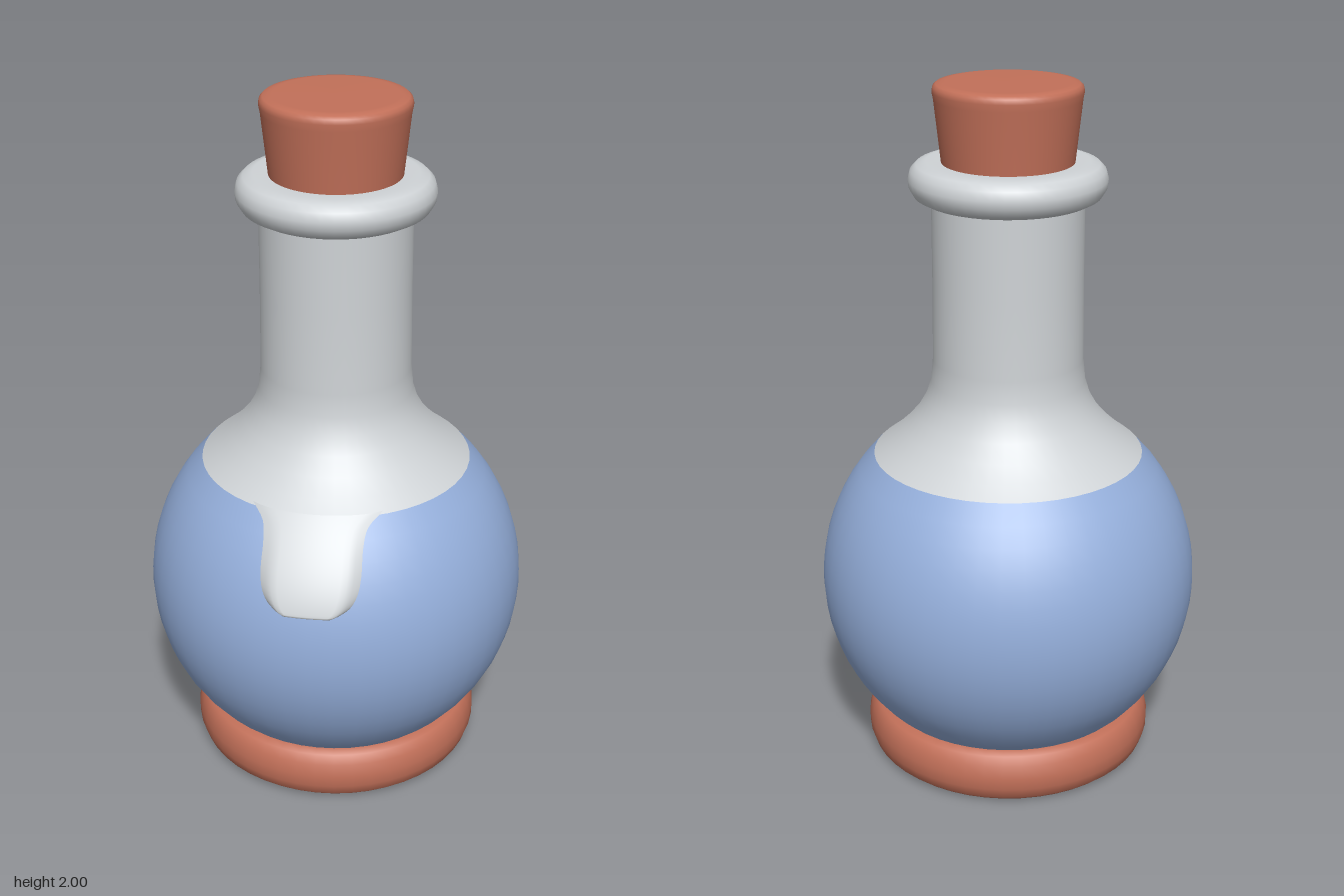
import * as THREE from 'three';

const SEGMENTS = 48;
const BODY_Y = 0.55, BODY_R = 0.548;
const bodyRadius = (y) => Math.sqrt(BODY_R ** 2 - (y - BODY_Y) ** 2);

// Turned part from [radius, height] pairs, bottom to top
function turned(name, profile, material) {
  const points = profile.map(([r, y]) => new THREE.Vector2(r, y));
  const mesh = new THREE.Mesh(new THREE.LatheGeometry(points, SEGMENTS), material);
  mesh.name = name;
  return mesh;
}

export function createModel() {
  const cork = new THREE.MeshStandardMaterial({ color: 0xc27059 });
  cork.name = 'cork';
  const glass = new THREE.MeshStandardMaterial({ color: 0xcfd3d6 });
  glass.name = 'glass';
  const liquid = new THREE.MeshStandardMaterial({ color: 0x94aeda });
  liquid.name = 'liquid blue';

  const group = new THREE.Group();
  group.name = 'potionBottle';

  // Cushion-like foot with a flat underside
  group.add(turned('base', [
    [0, 0], [0.385, 0], [0.395, 0.002], [0.413, 0.018], [0.424, 0.05], [0.425, 0.085],
    [0.417, 0.122], [0.4, 0.146], [0.375, 0.155], [0.3, 0.155],
  ], cork));

  // Round belly filled with liquid
  const belly = [];
  for (let i = 0; i <= 16; i++) {
    const y = THREE.MathUtils.lerp(0.13, 0.937, i / 16);
    belly.push([bodyRadius(y), y]);
  }
  group.add(turned('liquidBelly', belly, liquid));

  // Shoulder sweeping into the straight neck
  group.add(turned('neck', [
    [bodyRadius(0.937), 0.937], [0.345, 0.97], [0.3, 1.012], [0.262, 1.057],
    [0.235, 1.105], [0.22, 1.155], [0.214, 1.22], [0.212, 1.45], [0.212, 1.7],
  ], glass));

  // Rolled lip
  group.add(turned('lip', [
    [0.2, 1.678], [0.235, 1.68], [0.258, 1.692], [0.272, 1.715], [0.275, 1.738],
    [0.268, 1.762], [0.252, 1.778], [0.225, 1.786], [0.17, 1.782],
  ], glass));

  // Tapered stopper
  group.add(turned('stopper', [
    [0.18, 1.75], [0.184, 1.79], [0.202, 1.955], [0.206, 1.975], [0.203, 1.988],
    [0.195, 1.995], [0.18, 1.998], [0.17, 1.999], [0, 2],
  ], cork));

  // Raised drip on the front: a sheet wrapped round the belly, thickest at its foot
  const outline = new THREE.SplineCurve([
    [0.18, 0.945], [0.145, 0.915], [0.137, 0.87], [0.138, 0.81],
    [0.13, 0.76], [0.105, 0.724], [0.06, 0.707], [0.002, 0.702],
  ].map(([x, y]) => new THREE.Vector2(x, y)));
  const COLS = 16, ROWS = 28;
  const sheet = new THREE.PlaneGeometry(2, 1, COLS, ROWS);
  const pos = sheet.attributes.position;
  for (let i = 0; i < pos.count; i++) {
    const u = pos.getX(i);
    const edge = outline.getPoint(0.5 - pos.getY(i));
    const x = edge.x * u;
    const swell = THREE.MathUtils.lerp(0.024, 0.006, THREE.MathUtils.smoothstep(edge.y, 0.72, 0.94));
    const rim = Math.min(1, (1 - Math.abs(u)) * 5) * Math.min(1, (edge.y - 0.702) / 0.012);
    const r = bodyRadius(edge.y) + 0.003 + swell * Math.max(0, rim);
    pos.setXYZ(i, x, edge.y, Math.sqrt(r * r - x * x));
  }
  sheet.computeVertexNormals();
  const drip = new THREE.Mesh(sheet, glass);
  drip.name = 'drip';
  group.add(drip);

  return group;
}
